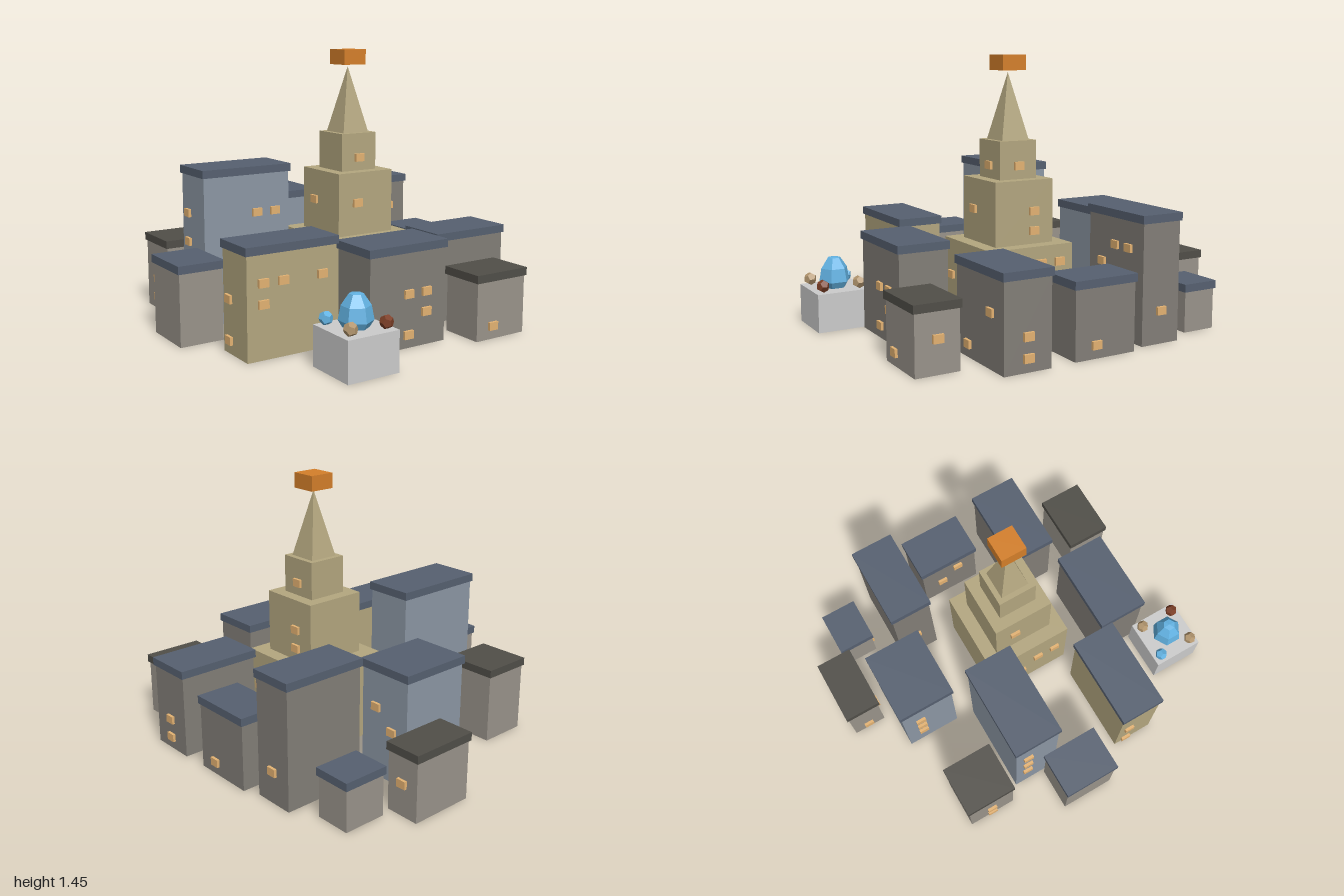
import * as THREE from 'three';

const mat = (color) => new THREE.MeshStandardMaterial({ color, flatShading: true });
const M = {
  blue: mat(0x8c97a4), grey: mat(0x827e77), pale: mat(0x99938a), tan: mat(0xb3a67f),
  slate: mat(0x566070), dark: mat(0x504e48), window: mat(0xe3b272), orange: mat(0xd47f2a),
  plinth: mat(0xc9cbcd), gem: mat(0x62b2e2), brown: mat(0x7c3f27), sand: mat(0xb4976f),
};
const TURN = -Math.PI / 12; // the whole street grid is turned by 15 degrees
const FLOOR = 0.1035, COLUMN = 0.11; // window spacing

function add(parent, name, geo, material, x = 0, y = 0, z = 0) {
  const m = new THREE.Mesh(geo, material);
  m.name = name;
  m.position.set(x, y, z);
  parent.add(m);
  return m;
}

// Box standing on height y
const block = (parent, name, w, h, d, y, material) =>
  add(parent, name, new THREE.BoxGeometry(w, h, d), material, 0, y + h / 2, 0);

function plot(root, name, x, z) {
  const g = new THREE.Group();
  g.name = name;
  g.position.set(x, 0, z);
  g.rotation.y = TURN;
  root.add(g);
  return g;
}

// Returns a function that puts a column of windows on one face of a w x d block
const windowsOn = (g, w, d, base) => function column(face, col, floor, count = 1) {
  for (let i = floor; i < floor + count; i++) {
    const y = base + 0.07 + i * FLOOR;
    if (face === 'front') {
      add(g, 'window', new THREE.BoxGeometry(0.055, 0.042, 0.03), M.window, col * COLUMN, y, d / 2);
    } else {
      const x = face === 'left' ? w / 2 : -w / 2;
      add(g, 'window', new THREE.BoxGeometry(0.03, 0.042, 0.055), M.window, x, y, col * COLUMN);
    }
  }
  return column;
};

// Walls under a slightly overhanging roof slab; w, d and h include the roof
function building(root, x, z, w, d, h, walls, roof) {
  const g = plot(root, 'building', x, z);
  const t = 0.042, lip = 0.018;
  block(g, 'walls', w - lip, h - t, d - lip, 0, walls);
  block(g, 'roof', w, t, d, h - t, roof);
  return windowsOn(g, w - lip, d - lip, 0);
}

// Houses behind the tower
function addBackRow(root) {
  building(root, -0.444, -0.714, 0.284, 0.29, 0.415, M.pale, M.dark)('right', 0, 0, 2);
  building(root, -0.344, -0.35, 0.526, 0.272, 0.835, M.blue, M.slate)
  ('front', 0.5, 5)('front', 1.5, 5)('right', -0.5, 2)('right', -0.5, 3.5)('right', -0.5, 5);
  building(root, -0.772, -0.254, 0.255, 0.32, 0.415, M.pale, M.slate);
  building(root, 0.201, -0.603, 0.405, 0.326, 0.61, M.blue, M.slate)
  ('left', 0.5, 3)('left', -0.5, 2)('right', -0.5, 1, 3);
  building(root, 0.479, -0.852, 0.367, 0.204, 0.355, M.pale, M.dark)
  ('left', 0, 1)('front', -1, 1)('right', 0, 0);
  building(root, 0.778, -0.608, 0.25, 0.208, 0.26, M.pale, M.slate)('front', -0.5, 0);
}

// Houses beside and in front of the tower
function addFrontRow(root) {
  building(root, 0.667, -0.296, 0.472, 0.245, 0.665, M.grey, M.slate)
  ('front', 1, 4)('front', 0, 4)('front', -1, 3)('left', 0, 1)('right', 0, 2);
  building(root, 0.717, 0.095, 0.247, 0.367, 0.395, M.grey, M.slate)
  ('left', 0.5, 0)('right', -0.5, 1)('right', 0.5, 2);
  building(root, 0.503, 0.497, 0.472, 0.275, 0.485, M.grey, M.slate)
  ('front', 1, 2)('front', -1, 0)('left', 0, 0, 2);
  building(root, 0.302, 0.83, 0.333, 0.25, 0.345, M.pale, M.dark)('front', -0.5, 0)('left', 0, 1);
  building(root, -0.147, 0.566, 0.479, 0.286, 0.525, M.grey, M.slate)
  ('front', 0, 0)('front', 0, 2)('front', 1, 1, 2)('left', 0.5, 0);
  building(root, -0.59, 0.222, 0.521, 0.254, 0.56, M.tan, M.slate)
  ('front', -1.5, 2, 2)('front', -0.5, 3)('front', 1.5, 3)('right', -0.5, 0)('right', -0.5, 2);
}

function addTower(root) {
  const g = plot(root, 'tower', 0.102, 0.06);
  // Square tiers, each set back from the one below
  const tier = (w, y0, y1) => {
    block(g, 'tower tier', w, y1 - y0, w, y0, M.tan);
    return windowsOn(g, w, w, y0);
  };
  const base = tier(0.494, 0, 0.47);
  for (const col of [-1.5, -0.5, 0.5, 1.5]) {
    base('front', col, col < 0 ? 2 : 1)('left', col, col < 0 ? 3 : 2)('right', col, col < 0 ? 1 : 2);
  }
  tier(0.343, 0.47, 0.805)('front', -0.5, 1)('left', -0.5, 0, 2)('right', -0.5, 1);
  tier(0.217, 0.805, 1.005)('front', 0, 0)('left', 0, 0);
  // Four-sided spire with a floating beacon
  const spire = add(g, 'spire', new THREE.ConeGeometry(0.16 / Math.SQRT2, 0.35, 4), M.tan, 0, 1.18, 0);
  spire.rotation.y = Math.PI / 4;
  block(g, 'beacon', 0.138, 0.08, 0.138, 1.365, M.orange);
}

function addGemPlinth(root) {
  const g = plot(root, 'gem plinth', -0.582, 0.698);
  block(g, 'plinth', 0.286, 0.205, 0.286, 0, M.plinth);
  // Faceted crystal
  const profile = [[0, 0.2], [0.06, 0.2], [0.085, 0.24], [0.072, 0.31], [0.035, 0.365], [0, 0.37]]
    .map(([r, y]) => new THREE.Vector2(r, y));
  add(g, 'large gem', new THREE.LatheGeometry(profile, 6), M.gem);
  // Small stones near the corners
  [M.gem, M.sand, M.sand, M.brown].forEach((material, i) => {
    const x = i % 2 ? 0.1 : -0.1, z = i < 2 ? -0.1 : 0.1;
    add(g, 'small stone', new THREE.DodecahedronGeometry(0.035), material, x, 0.239, z);
  });
}

export function createModel() {
  const root = new THREE.Group();
  root.name = 'town block';
  addBackRow(root);
  addFrontRow(root);
  addTower(root);
  addGemPlinth(root);
  return root;
}
